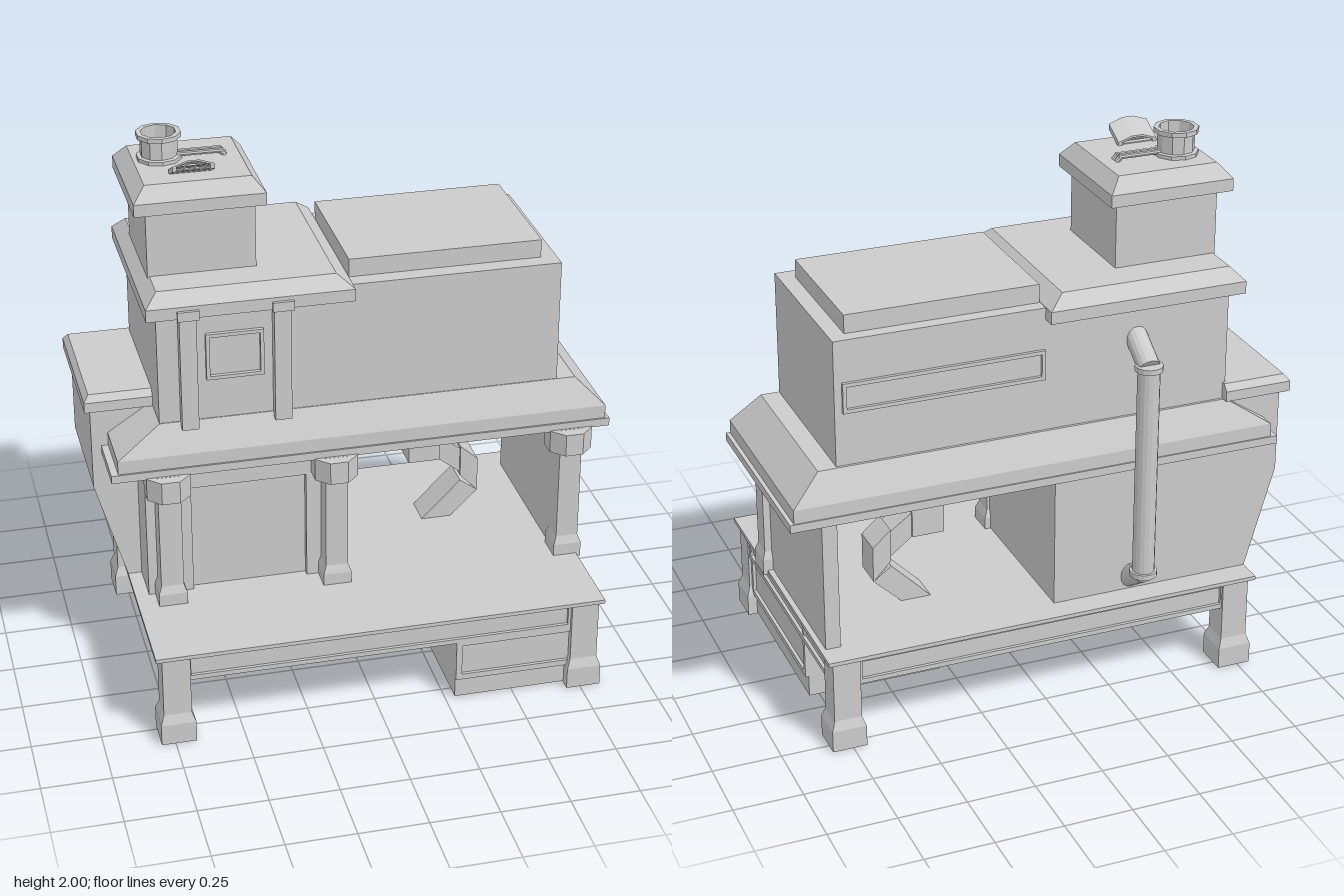
import * as THREE from 'three';

const mat = new THREE.MeshStandardMaterial({ color: 0xcccccc, flatShading: true, side: THREE.DoubleSide });

export function createModel() {
  const model = new THREE.Group();
  const add = (name, geo, parent = model) => {
    const m = new THREE.Mesh(geo, mat);
    m.name = name;
    parent.add(m);
    return m;
  };
  const group = (name) => {
    const g = new THREE.Group();
    g.name = name;
    model.add(g);
    return g;
  };
  // box given by its limits; top = [x0, x1, z0, z1] tapers the upper face
  const block = (name, x0, x1, y0, y1, z0, z1, parent, top = [x0, x1, z0, z1]) => {
    const g = new THREE.BoxGeometry(1, 1, 1);
    const p = g.attributes.position;
    for (let i = 0; i < p.count; i++) {
      const up = p.getY(i) > 0;
      const [a, b, c, d] = up ? top : [x0, x1, z0, z1];
      p.setXYZ(i, p.getX(i) > 0 ? b : a, up ? y1 : y0, p.getZ(i) > 0 ? d : c);
    }
    g.computeVertexNormals();
    return add(name, g, parent);
  };
  // slab with a bevelled upper part
  const cap = (name, x0, x1, y0, ym, y1, z0, z1, top) => {
    const g = group(name);
    block(name + 'Edge', x0, x1, y0, ym, z0, z1, g);
    block(name + 'Slope', x0, x1, ym, y1, z0, z1, g, top);
  };
  const poly = (pts) => new THREE.Shape(pts.map(([x, y]) => new THREE.Vector2(x, y)));
  const extrude = (pts, z0, z1) =>
    new THREE.ExtrudeGeometry(poly(pts), { depth: z1 - z0, bevelEnabled: false }).translate(0, 0, z0);
  // rectangular border with an open middle, facing +z before it is turned
  const frame = (name, w, h, border, depth, pos, turn = 0, parent = model) => {
    const rect = (a, b) => [[-a, -b], [a, -b], [a, b], [-a, b]];
    const s = poly(rect(w / 2, h / 2));
    s.holes.push(poly(rect(w / 2 - border, h / 2 - border)));
    const m = add(name, new THREE.ExtrudeGeometry(s, { depth, bevelEnabled: false }), parent);
    m.position.set(...pos);
    m.rotation.y = turn;
    return m;
  };
  const rod = (name, a, b, r, sides, parent) => {
    const A = new THREE.Vector3(...a), d = new THREE.Vector3(...b).sub(A);
    const m = add(name, new THREE.CylinderGeometry(r, r, d.length(), sides), parent);
    m.position.copy(A).addScaledVector(d, 0.5);
    m.quaternion.setFromUnitVectors(new THREE.Vector3(0, 1, 0), d.normalize());
    return m;
  };
  // square post standing on a wider flared foot
  const post = (name, x, z, y0, yFoot, yNeck, y1, foot, neck, parent) => {
    const sq = (r) => [x - r, x + r, z - r, z + r];
    const [a, b, c, d] = sq(foot), [e, f, i, j] = sq(neck);
    block(name + 'Foot', a, b, y0, yFoot, c, d, parent);
    block(name + 'Flare', a, b, yFoot, yNeck, c, d, parent, sq(neck));
    block(name + 'Shaft', e, f, yNeck, y1, i, j, parent);
  };

  // Platform on four legs
  block('platform', -0.81, 0.83, 0.345, 0.36, -0.545, 0.6);
  const legs = group('legs');
  for (const x of [-0.737, 0.762])
    for (const z of [-0.482, 0.537]) post('leg', x, z, 0, 0.08, 0.115, 0.345, 0.063, 0.05, legs);

  // Aprons with raised borders
  const aprons = group('aprons');
  block('frontApron', -0.7, 0.72, 0.24, 0.345, 0.53, 0.56, aprons);
  frame('frontBorder', 1.42, 0.105, 0.018, 0.012, [0.01, 0.2925, 0.56], 0, aprons);
  block('backApron', -0.7, 0.72, 0.24, 0.345, -0.51, -0.48, aprons);
  frame('backBorder', 1.42, 0.105, 0.018, 0.012, [0.01, 0.2925, -0.51], Math.PI, aprons);
  for (const [x, s] of [[-0.755, -1], [0.78, 1]]) {
    block('sideApron', x - 0.015, x + 0.015, 0.24, 0.345, -0.44, 0.49, aprons);
    frame('sideBorder', 0.93, 0.105, 0.018, 0.012, [x + s * 0.015, 0.2925, 0.025], s * Math.PI / 2, aprons);
  }

  // Storage box below the platform
  const bin = group('storageBox');
  block('storageBody', 0.285, 0.79, 0.005, 0.345, -0.17, 0.56, bin);
  frame('boxFrontBorder', 0.45, 0.165, 0.022, 0.012, [0.51, 0.165, 0.56], 0, bin);
  frame('boxSideBorder', 0.66, 0.25, 0.02, 0.012, [0.79, 0.21, 0.16], Math.PI / 2, bin);

  // Ground floor: closed room on the left, open bay, wall on the right
  const room = group('lowerRoom');
  block('roomCore', -0.76, -0.05, 0.36, 0.88, -0.45, 0.15, room);
  block('roomLeftPier', -0.76, -0.595, 0.36, 0.88, 0.15, 0.175, room);
  block('roomRightPier', -0.175, -0.05, 0.36, 0.88, 0.15, 0.175, room);
  block('roomLintel', -0.595, -0.175, 0.78, 0.88, 0.15, 0.175, room);
  block('rightWall', 0.755, 0.81, 0.36, 0.88, -0.45, 0.175);

  // Front columns with octagonal capitals
  const columns = group('columns');
  for (const x of [-0.685, -0.08, 0.795]) {
    post('column', x, 0.212, 0.345, 0.405, 0.435, 0.88, 0.052, 0.041, columns);
    const capital = add('capital', new THREE.CylinderGeometry(0.085, 0.085, 0.085, 8), columns);
    capital.rotation.y = Math.PI / 8;
    capital.position.set(x, 0.837, 0.215);
  }

  // Cranked chute in the open bay
  const chute = group('chute');
  add('chuteDrop', extrude([[0.285, 0.61], [0.405, 0.61], [0.405, 0.88], [0.285, 0.88]], -0.23, -0.11), chute);
  add('chuteUpper', extrude([[0.4, 0.61], [0.49, 0.54], [0.49, 0.64], [0.4, 0.705]], -0.22, -0.12), chute);
  add('chuteElbow', extrude([[0.487, 0.53], [0.555, 0.46], [0.555, 0.595], [0.487, 0.655]], -0.23, -0.11), chute);
  add('chuteLower', extrude([[0.29, 0.31], [0.4, 0.31], [0.555, 0.46], [0.487, 0.51]], -0.23, -0.11), chute);

  // Sloped skirt between the floors
  block('skirtSlab', -0.885, 0.94, 0.875, 0.905, -0.515, 0.245);
  cap('skirt', -0.86, 0.925, 0.905, 0.955, 1.06, -0.51, 0.238, [-0.7, 0.82, -0.46, 0.188]);

  // Upper floor, flat roof slab and back vent
  block('upperBody', -0.7, 0.752, 1.06, 1.518, -0.45, 0.185);
  block('roofSlab', -0.005, 0.695, 1.518, 1.585, -0.4, 0.122);
  frame('backVent', 0.73, 0.11, 0.014, 0.012, [0.36, 1.31, -0.45], Math.PI);

  // Tower roof, window and pilasters
  cap('towerRoof', -0.74, -0.007, 1.475, 1.52, 1.567, -0.5, 0.23, [-0.695, -0.065, -0.455, 0.185]);
  frame('window', 0.205, 0.175, 0.013, 0.015, [-0.428, 1.303, 0.185]);
  const pilasters = group('pilasters');
  for (const x of [-0.595, -0.263]) {
    block('pilaster', x - 0.03, x + 0.03, 1.04, 1.475, 0.18, 0.222, pilasters);
    block('pilasterCap', x - 0.038, x + 0.038, 1.47, 1.505, 0.18, 0.242, pilasters);
  }

  // Chimney with bevelled cap
  block('chimney', -0.702, -0.32, 1.56, 1.81, -0.325, 0.06);
  cap('chimneyCap', -0.745, -0.285, 1.805, 1.85, 1.902, -0.363, 0.092, [-0.7, -0.328, -0.32, 0.05]);

  // Hollow chimney pot
  const pot = add('chimneyPot', new THREE.LatheGeometry(
    [[0.08, 1.9], [0.08, 1.915], [0.066, 1.917], [0.066, 1.98], [0.08, 1.983], [0.08, 2],
      [0.062, 2], [0.062, 1.94], [0, 1.94]].map(([r, y]) => new THREE.Vector2(r, y)), 10));
  pot.position.set(-0.608, 0, -0.182);

  // Pair of small pipes beside the pot
  const pipes = group('roofPipes');
  for (const z of [-0.186, -0.162]) {
    rod('roofPipe', [-0.55, 1.917, z], [-0.388, 1.917, z], 0.009, 8, pipes);
    rod('pipeEnd', [-0.395, 1.917, z], [-0.38, 1.9, z], 0.01, 8, pipes);
  }

  // Slanted gabled roof vent with slats
  const vent = group('roofVent');
  const shear = (g) => {
    const p = g.attributes.position;
    for (let i = 0; i < p.count; i++) p.setY(i, p.getY(i) + 0.5 * p.getZ(i));
    g.computeVertexNormals();
    return g;
  };
  const hood = poly([[-0.073, 1.915], [0.073, 1.915], [0.073, 1.935], [0.02, 1.953], [-0.02, 1.953], [-0.073, 1.935]]);
  hood.holes.push(poly([[-0.058, 1.919], [0.058, 1.919], [0.058, 1.933], [0.018, 1.946], [-0.018, 1.946], [-0.058, 1.933]]));
  add('ventHood', shear(new THREE.ExtrudeGeometry(hood, { depth: 0.085, bevelEnabled: false }).translate(0, 0, -0.042)), vent);
  for (const y of [1.922, 1.934])
    add('ventSlat', shear(new THREE.BoxGeometry(0.116, 0.004, 0.07).translate(0, y, 0)), vent);
  vent.position.x = -0.527;

  // Side hopper and its lid
  add('hopper', extrude([[-0.7, 0.36], [-0.81, 0.36], [-0.92, 0.74], [-0.92, 1.065], [-0.7, 1.065]].reverse(), -0.45, 0.015));
  cap('hopperLid', -0.943, -0.69, 1.06, 1.098, 1.122, -0.485, 0.05, [-0.925, -0.69, -0.465, 0.03]);

  // Drain pipe on the back
  const drain = group('drainPipe');
  const x = -0.352;
  rod('drainShaft', [x, 0.48, -0.55], [x, 1.28, -0.55], 0.04, 16, drain);
  rod('drainTop', [x, 1.28, -0.55], [x, 1.36, -0.43], 0.04, 16, drain);
  rod('drainBottom', [x, 0.48, -0.55], [x, 0.4, -0.43], 0.04, 16, drain);
  for (const y of [0.478, 1.28]) rod('drainCollar', [x, y - 0.01, -0.55], [x, y + 0.01, -0.55], 0.05, 16, drain);

  return model;
}
